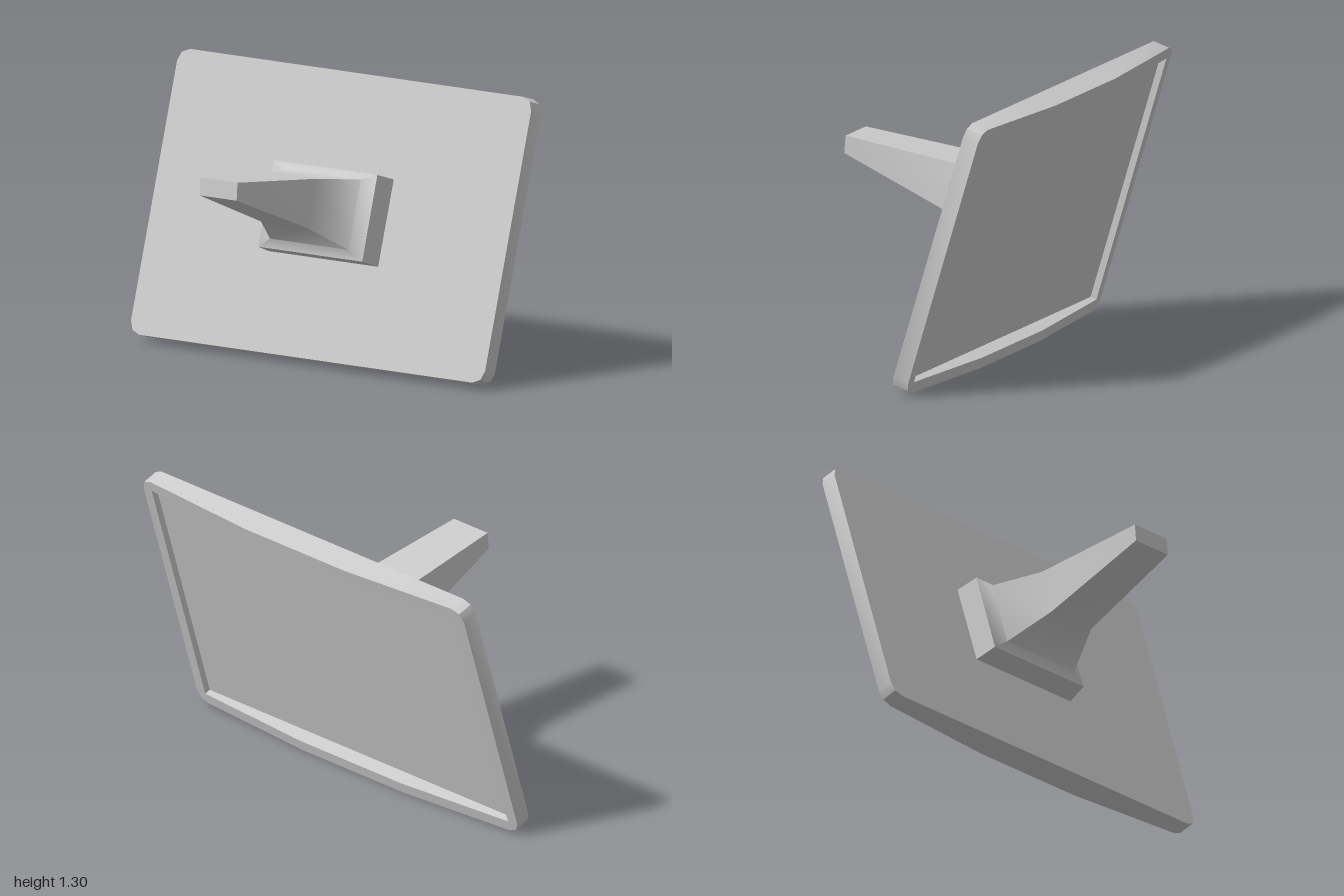
import * as THREE from 'three';
import { toCreasedNormals } from 'three/addons/utils/BufferGeometryUtils.js';

const material = new THREE.MeshStandardMaterial({ color: 0xcccccc });

// Skins a row of matching loops (each counter-clockwise seen from +z, ordered front to back).
function loft(loops, crease, closeBack) {
  const out = [];
  const tri = (a, b, c) => {
    const area = new THREE.Triangle(a, b, c).getArea();
    if (area > 1e-7) for (const p of [a, b, c]) out.push(p.x, p.y, p.z);
  };
  const n = loops[0].length;
  for (let k = 0; k < loops.length - 1; k++) {
    for (let i = 0; i < n; i++) {
      const j = (i + 1) % n;
      const [a, b, c, d] = [loops[k][i], loops[k][j], loops[k + 1][j], loops[k + 1][i]];
      tri(d, c, b);
      tri(d, b, a);
    }
  }
  const first = loops[0], last = loops[loops.length - 1];
  for (let i = 1; i < n - 1; i++) {
    tri(first[0], first[i], first[i + 1]);
    if (closeBack) tri(last[0], last[i + 1], last[i]);
  }
  const geometry = new THREE.BufferGeometry();
  geometry.setAttribute('position', new THREE.Float32BufferAttribute(out, 3));
  return toCreasedNormals(geometry, crease);
}

function part(name, geometry) {
  const mesh = new THREE.Mesh(geometry, material);
  mesh.name = name;
  return mesh;
}

// Tilted panel: flat front, bowed rear frame around a recessed screen.
function createPanel() {
  const W = 1, H = 0.659, R = 0.06, RIM = 0.055, FLOOR = 0.05, BEND = 0.31;
  const outer = [], inner = [];
  const corner = (sx, sy, start) => {
    for (let i = 0; i <= 2; i++) {
      const t = start + (i * Math.PI) / 4;
      outer.push([sx * (W - R) + R * Math.cos(t), sy * (H - R) + R * Math.sin(t)]);
      inner.push([sx * (W - RIM), sy * (H - RIM)]);
    }
  };
  const bend = (x, sy) => {
    outer.push([x, sy * H]);
    inner.push([x, sy * (H - RIM)]);
  };
  corner(-1, -1, Math.PI);
  bend(-BEND, -1);
  bend(BEND, -1);
  corner(1, -1, 1.5 * Math.PI);
  corner(1, 1, 0);
  bend(BEND, 1);
  bend(-BEND, 1);
  corner(-1, 1, 0.5 * Math.PI);

  // Rear depth: flat in the middle, thinning towards both sides
  const bow = (x) => -0.119 + 0.041 * Math.max(0, (Math.abs(x) - BEND) / (W - BEND));
  const loop = (points, depth) => points.map(([x, y]) => new THREE.Vector3(x, y, depth(x)));
  const frame = part('panelFrame', loft([
    loop(outer, () => 0),
    loop(outer, bow),
    loop(inner, bow),
    loop(inner, () => -FLOOR),
  ], 0.5, false));

  const screen = part('screen', new THREE.PlaneGeometry(2 * (W - RIM), 2 * (H - RIM)));
  screen.rotation.y = Math.PI;
  screen.position.z = -FLOOR;

  const panel = new THREE.Group();
  panel.name = 'panel';
  panel.add(frame, screen);
  panel.rotation.x = -Math.atan2(0.385, 1.26);
  panel.position.set(0, 0.67, -0.2775);
  return panel;
}

// Mounting arm: tapered beam flaring into a wide foot on the panel.
function createArm() {
  // half width, bottom y, bottom z, top y, top z
  const sections = [
    [0.105, 0.888, 0.582, 0.97, 0.575],
    [0.13, 0.685, 0.08, 0.903, 0.02],
    [0.222, 0.565, -0.11, 0.875, -0.205],
    [0.293, 0.517, -0.12, 0.9, -0.235],
    [0.31, 0.48, -0.218, 0.865, -0.337],
  ];
  const loops = sections.map(([w, y0, z0, y1, z1]) => [
    new THREE.Vector3(-w, y0, z0),
    new THREE.Vector3(w, y0, z0),
    new THREE.Vector3(w, y1, z1),
    new THREE.Vector3(-w, y1, z1),
  ]);
  return part('mountingArm', loft(loops, 0.9, true));
}

export function createModel() {
  const model = new THREE.Group();
  model.name = 'wallMountedPanel';
  model.add(createPanel(), createArm());
  return model;
}
